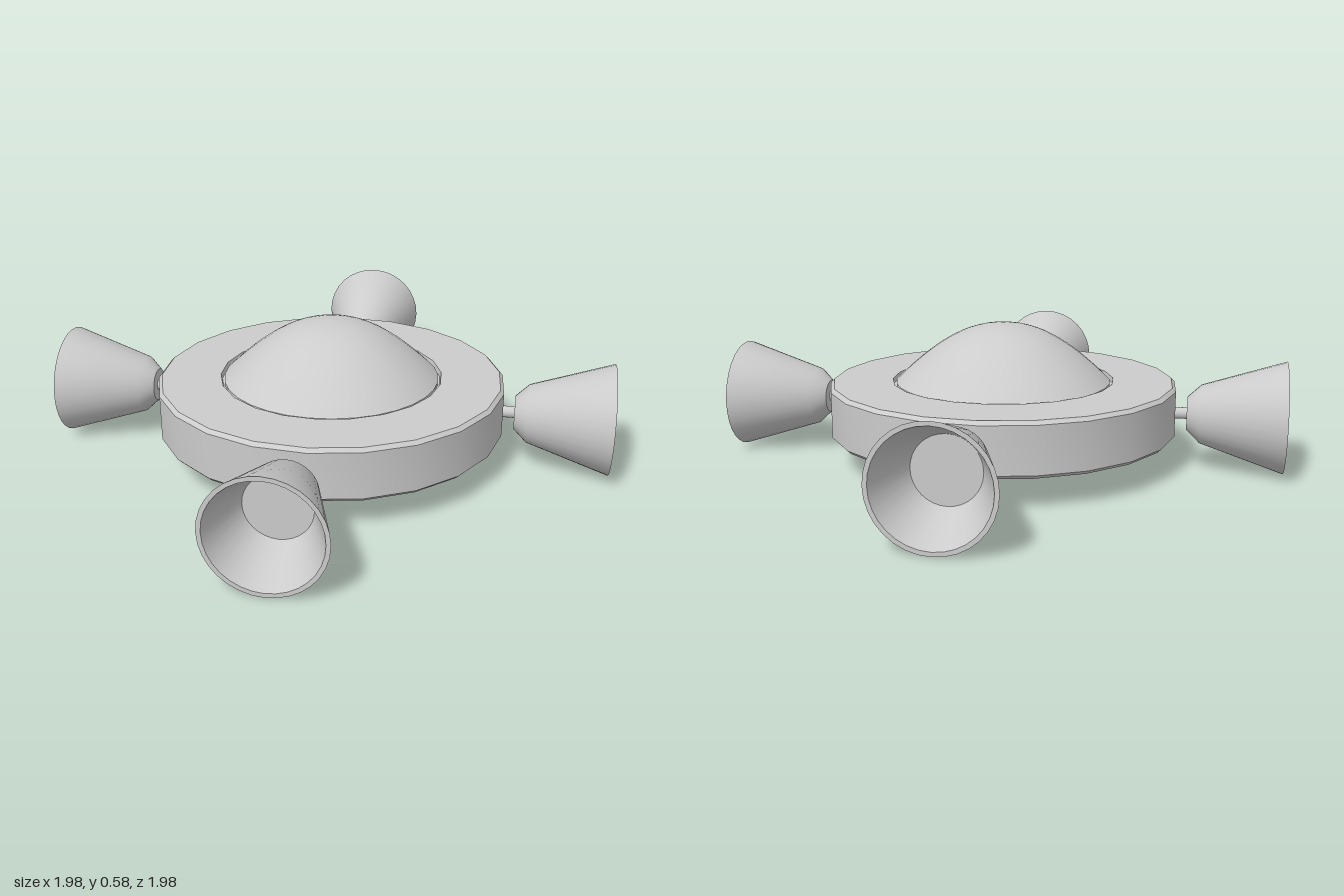
import * as THREE from 'three';
import { toCreasedNormals } from 'three/addons/utils/BufferGeometryUtils.js';

const SIDES = 22;
const AXIS_Y = 0.23;

export function createModel() {
  const model = new THREE.Group();
  model.name = 'saucer';
  const material = new THREE.MeshStandardMaterial({ color: 0xcccccc });

  // Turned part from [radius, height] pairs, with sharp edges kept
  const turn = (pairs, sides, start = 0) => toCreasedNormals(
    new THREE.LatheGeometry(pairs.map(([r, y]) => new THREE.Vector2(r, y)), sides, start), 0.6);

  const add = (parent, name, geometry) => {
    const mesh = new THREE.Mesh(geometry, material);
    mesh.name = name;
    parent.add(mesh);
    return mesh;
  };

  // Disc hull with bevelled edges and a shallow groove around the dome
  add(model, 'hull', turn([
    [0, 0.125], [0.72, 0.125], [0.735, 0.14], [0.735, 0.33], [0.72, 0.345],
    [0.47, 0.345], [0.465, 0.325], [0.44, 0.325],
  ], SIDES, Math.PI / SIDES));

  // Dome
  const domeCurve = new THREE.SplineCurve([
    [0.455, 0.325], [0.455, 0.34], [0.395, 0.397], [0.3, 0.475],
    [0.2, 0.537], [0.1, 0.573], [0, 0.585],
  ].slice(1).map(([r, y]) => new THREE.Vector2(r, y)));
  const domeProfile = domeCurve.getPoints(16).map((p) => [Math.max(0, p.x), p.y]);
  add(model, 'dome', turn([[0.455, 0.32], ...domeProfile], 32));

  // Hollow flared thruster: back, outer wall, rim, inner wall, floor
  const thrusterGeometry = turn([
    [0, 0.78], [0.07, 0.78], [0.122, 0.835], [0.23, 1.173],
    [0.213, 1.173], [0.13, 0.96], [0, 0.96],
  ], 32).rotateZ(-Math.PI / 2);
  const strutGeometry = new THREE.CylinderGeometry(0.024, 0.024, 0.12, 16)
    .rotateZ(-Math.PI / 2).translate(0.74, 0, 0);

  // Four thrusters on the diagonals
  ['backLeft', 'backRight', 'frontRight', 'frontLeft'].forEach((corner, i) => {
    const arm = new THREE.Group();
    arm.name = `${corner}Thruster`;
    arm.position.y = AXIS_Y;
    arm.rotation.y = Math.PI / 4 + i * Math.PI / 2;
    add(arm, 'nozzle', thrusterGeometry);
    add(arm, 'strut', strutGeometry);
    model.add(arm);
  });

  return model;
}
